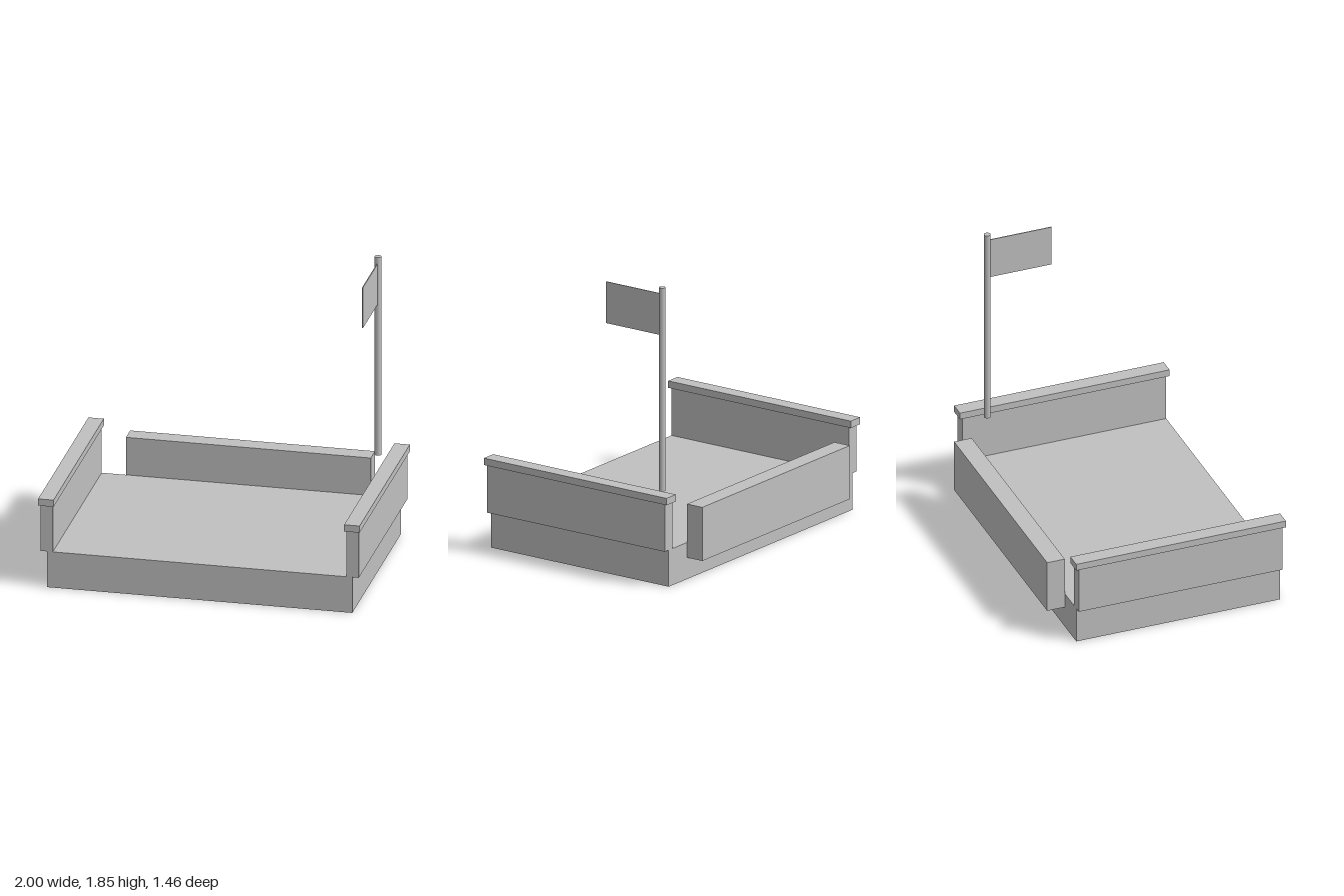
import * as THREE from 'three';

export function createModel() {
  const model = new THREE.Group();
  model.name = 'platformWithFlag';
  const grey = new THREE.MeshStandardMaterial({ color: 0xc0c0c0 });
  grey.name = 'light grey';

  // Adds a box given its lower and upper limits on each axis
  const addBox = (name, [x0, x1], [y0, y1], [z0, z1]) => {
    const mesh = new THREE.Mesh(new THREE.BoxGeometry(x1 - x0, y1 - y0, z1 - z0), grey);
    mesh.position.set((x0 + x1) / 2, (y0 + y1) / 2, (z0 + z1) / 2);
    mesh.name = name;
    model.add(mesh);
  };

  const depth = [-0.617, 0.713];

  // Floor slab
  addBox('base', [-0.95, 0.95], [0, 0.233], depth);

  // Side walls with overhanging caps
  for (const [side, s] of [['left', 1], ['right', -1]]) {
    const span = (a, b) => (s > 0 ? [a, b] : [-b, -a]);
    addBox(side + 'Wall', span(0.913, 0.991), [0.233, 0.535], depth);
    addBox(side + 'WallCap', span(0.904, 1), [0.535, 0.579], [-0.637, 0.732]);
  }

  // Panel fixed to the back edge
  addBox('backPanel', [-0.762, 0.762], [0.137, 0.478], [-0.732, -0.617]);

  // Flag pole and thin flag
  const pole = new THREE.Mesh(new THREE.CylinderGeometry(0.021, 0.021, 1.293, 12), grey);
  pole.position.set(0.836, 1.2055, -0.486);
  pole.name = 'flagPole';
  model.add(pole);
  addBox('flag', [0.833, 0.839], [1.547, 1.811], [-0.47, -0.066]);

  return model;
}
